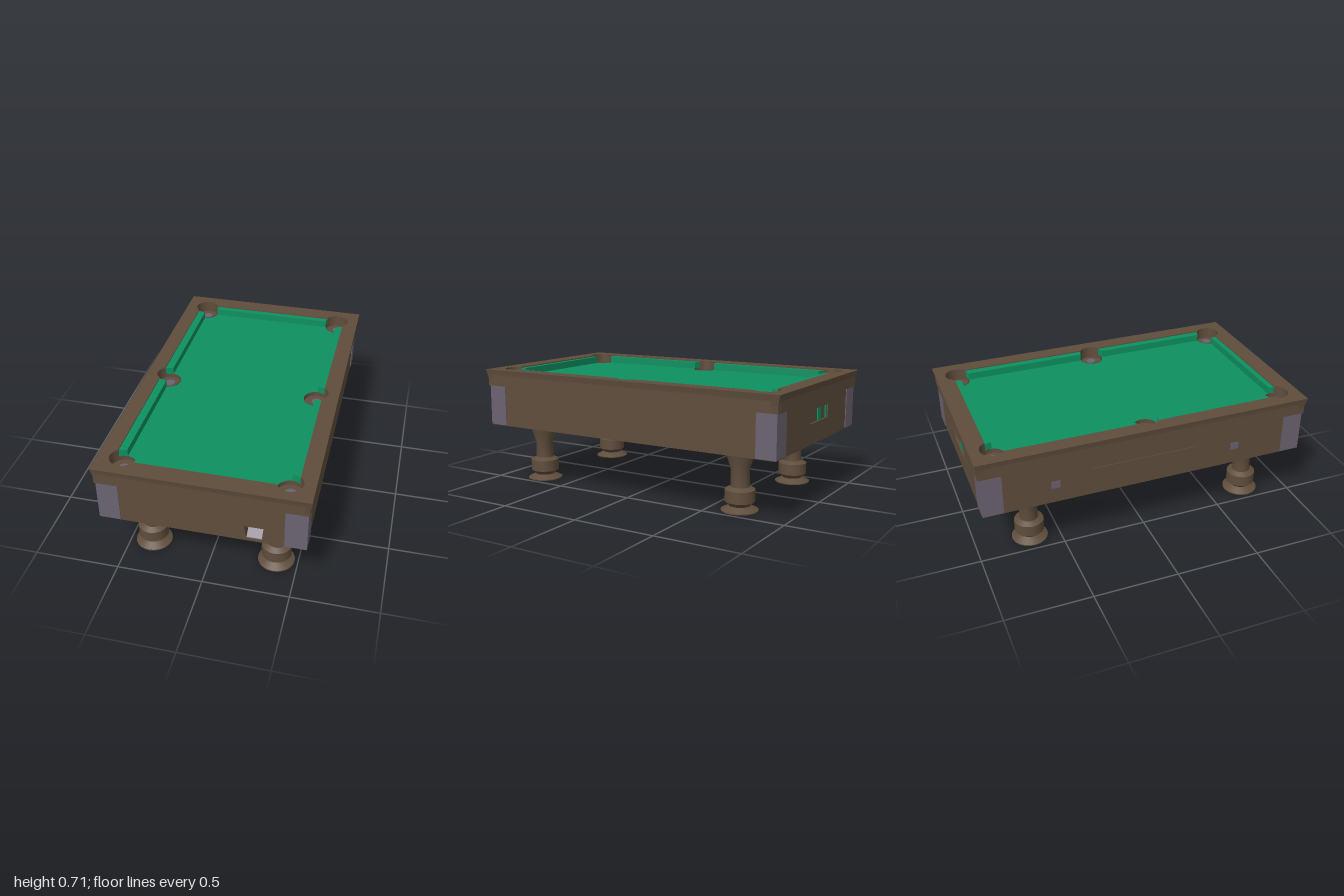
import * as THREE from 'three';
import { toCreasedNormals } from 'three/addons/utils/BufferGeometryUtils.js';

const mat = (name, color, side = THREE.FrontSide) => {
  const m = new THREE.MeshStandardMaterial({ color, side });
  m.name = name;
  return m;
};

export function createModel() {
  const model = new THREE.Group();
  const wood = mat('wood', 0x5f4d3c, THREE.DoubleSide);
  const cloth = mat('cloth', 0x0e9060);
  const metal = mat('metal', 0x6b6271);

  const add = (name, geo, material, parent = model) => {
    const mesh = new THREE.Mesh(geo, material);
    mesh.name = name;
    parent.add(mesh);
    return mesh;
  };
  // Box given by its minimum and maximum corners
  const box = (name, x0, x1, y0, y1, z0, z1, material, parent) => {
    const geo = new THREE.BoxGeometry(x1 - x0, y1 - y0, z1 - z0);
    geo.translate((x0 + x1) / 2, (y0 + y1) / 2, (z0 + z1) / 2);
    return add(name, geo, material, parent);
  };
  const polygon = (pts) => new THREE.Shape(pts.map(([x, y]) => new THREE.Vector2(x, y)));
  // Plan shape (x, z) extruded downwards from height top
  const slab = (shape, top, depth, steps = 1) => {
    const geo = new THREE.ExtrudeGeometry(shape, { depth, steps, bevelEnabled: false, curveSegments: 20 });
    return geo.rotateX(Math.PI / 2).translate(0, top, 0);
  };

  // Pockets: centre and the arc that bites into the rail
  const R = 0.072, PI = Math.PI;
  const pockets = [
    [0.455, 0.017, -0.948, 0.948],
    [0.455, 0.865, -0.894, 2.757],
    [-0.455, 0.865, PI - 2.757, PI + 0.894],
    [-0.46, 0.017, PI - 0.948, PI + 0.948],
    [-0.455, -0.868, PI - 0.894, PI + 2.757],
    [0.455, -0.868, -2.757, 0.894],
  ];

  // Rail frame, flared towards its top edge
  const frame = polygon([[-0.583, -0.988], [0.583, -0.988], [0.583, 0.988], [-0.583, 0.988]]);
  const opening = new THREE.Path();
  pockets.forEach(([x, z, a, b], i) => {
    if (i === 0) opening.moveTo(x + R * Math.cos(a), z + R * Math.sin(a));
    opening.absarc(x, z, R, a, b, false);
  });
  opening.closePath();
  frame.holes.push(opening);
  const frameGeo = slab(frame, 0.706, 0.101, 2);
  const pos = frameGeo.attributes.position;
  for (let i = 0; i < pos.count; i++) {
    const x = pos.getX(i), z = pos.getZ(i);
    if (Math.abs(x) > 0.57 && pos.getY(i) > 0.7) {
      pos.setX(i, x + Math.sign(x) * 0.01);
      pos.setZ(i, z + Math.sign(z) * 0.012);
    }
  }
  frameGeo.computeVertexNormals();
  add('railFrame', toCreasedNormals(frameGeo, 0.5), wood);

  // Raised trim on the four sides of the rail
  for (const s of [-1, 1]) {
    const endTrim = box('endTrim', -0.56, 0.56, 0.618, 0.67, -0.003, 0.003, wood);
    endTrim.position.z = s * 0.988;
    const sideTrim = box('sideTrim', -0.003, 0.003, 0.618, 0.67, -0.95, 0.95, wood);
    sideTrim.position.x = s * 0.583;
  }

  // Playing bed with pocket holes
  const bed = polygon([[-0.56, -0.96], [0.56, -0.96], [0.56, 0.96], [-0.56, 0.96]]);
  pockets.forEach(([x, z]) => bed.holes.push(new THREE.Path().absarc(x, z, R, 0, 2 * PI, true)));
  add('bed', slab(bed, 0.657, 0.04), cloth);

  // Pocket cups with a small plate at the bottom
  for (const [x, z] of pockets) {
    const wall = new THREE.CylinderGeometry(R - 0.001, R - 0.001, 0.05, 28, 1, true);
    add('pocketWall', wall.translate(x, 0.635, z), wood);
    add('pocketFloor', new THREE.CylinderGeometry(R, R, 0.02, 28).translate(x, 0.624, z), wood);
    add('pocketPlate', new THREE.CylinderGeometry(0.03, 0.03, 0.006, 14).translate(x + 0.005, 0.638, z), metal);
  }

  // Cushions between the pockets
  const cushion = (pts) => add('cushion', slab(polygon(pts), 0.7, 0.045), cloth);
  for (const s of [-1, 1]) {
    cushion([[-0.388, s * 0.9], [0.388, s * 0.9], [0.382, s * 0.858], [-0.382, s * 0.858]]);
    cushion([[s * 0.505, 0.077], [s * 0.505, 0.805], [s * 0.455, 0.79], [s * 0.455, 0.091]]);
    cushion([[s * 0.505, -0.043], [s * 0.505, -0.81], [s * 0.455, -0.794], [s * 0.455, -0.057]]);
  }

  // Cabinet core and the two end panels with openings
  box('cabinet', -0.572, 0.572, 0.355, 0.607, -0.925, 0.925, wood);
  const endPanel = (name, hole, depth) => {
    const group = new THREE.Group();
    group.name = name;
    const shape = polygon([[-0.572, 0.355], [0.572, 0.355], [0.572, 0.607], [-0.572, 0.607]]);
    shape.holes.push(polygon(hole));
    const geo = new THREE.ExtrudeGeometry(shape, { depth, bevelEnabled: false });
    add('panel', geo.translate(0, 0, 0.975 - depth), wood, group);
    box('panelBacking', -0.572, 0.572, 0.355, 0.607, 0.92, 0.9755 - depth, wood, group);
    model.add(group);
    return group;
  };
  // Front: ball return with a sloped tray
  const front = endPanel('frontPanel', [[0.25, 0.372], [0.333, 0.372], [0.342, 0.455], [0.237, 0.455]], 0.05);
  const tray = polygon([[0, 0.372], [0.045, 0.372], [0.045, 0.378], [0, 0.412]]);
  const trayGeo = new THREE.ExtrudeGeometry(tray, { depth: 0.084, bevelEnabled: false });
  add('ballTray', trayGeo.rotateY(-PI / 2).translate(0.334, 0, 0.927), metal, front);

  // Back: shallow window with cloth-coloured markers
  const back = endPanel('backPanel', [[-0.11, 0.475], [0.15, 0.475], [0.155, 0.552], [-0.125, 0.552]], 0.012);
  box('windowMarker', 0.012, 0.058, 0.475, 0.552, 0.962, 0.97, cloth, back);
  box('windowEdge', 0.13, 0.152, 0.475, 0.552, 0.962, 0.97, cloth, back);
  back.rotation.y = PI;

  // Metal corner guards
  for (const sx of [-1, 1]) for (const sz of [-1, 1]) {
    const guard = box('cornerGuard', -0.061, 0.061, 0.36, 0.606, -0.06, 0.06, metal);
    guard.position.set(sx * 0.516, 0, sz * 0.92);
  }

  // Access panel and locks on the right side
  box('accessPanel', -0.577, -0.57, 0.468, 0.525, -0.35, 0.3, wood);
  for (const z of [-0.56, 0.54]) box('lock', -0.577, -0.57, 0.45, 0.492, z - 0.025, z + 0.025, metal);

  // Turned legs
  const profile = [
    [0, 0], [0.107, 0], [0.107, 0.006], [0.06, 0.029], [0.087, 0.054], [0.087, 0.123],
    [0.054, 0.139], [0.053, 0.235], [0.078, 0.318], [0.082, 0.34], [0.082, 0.357],
  ].map(([r, y]) => new THREE.Vector2(r, y));
  const legGeo = toCreasedNormals(new THREE.LatheGeometry(profile, 24), 0.5);
  for (const x of [-0.366, 0.373]) for (const z of [-0.675, 0.727]) {
    add('leg', legGeo, wood).position.set(x, 0, z);
  }
  return model;
}
